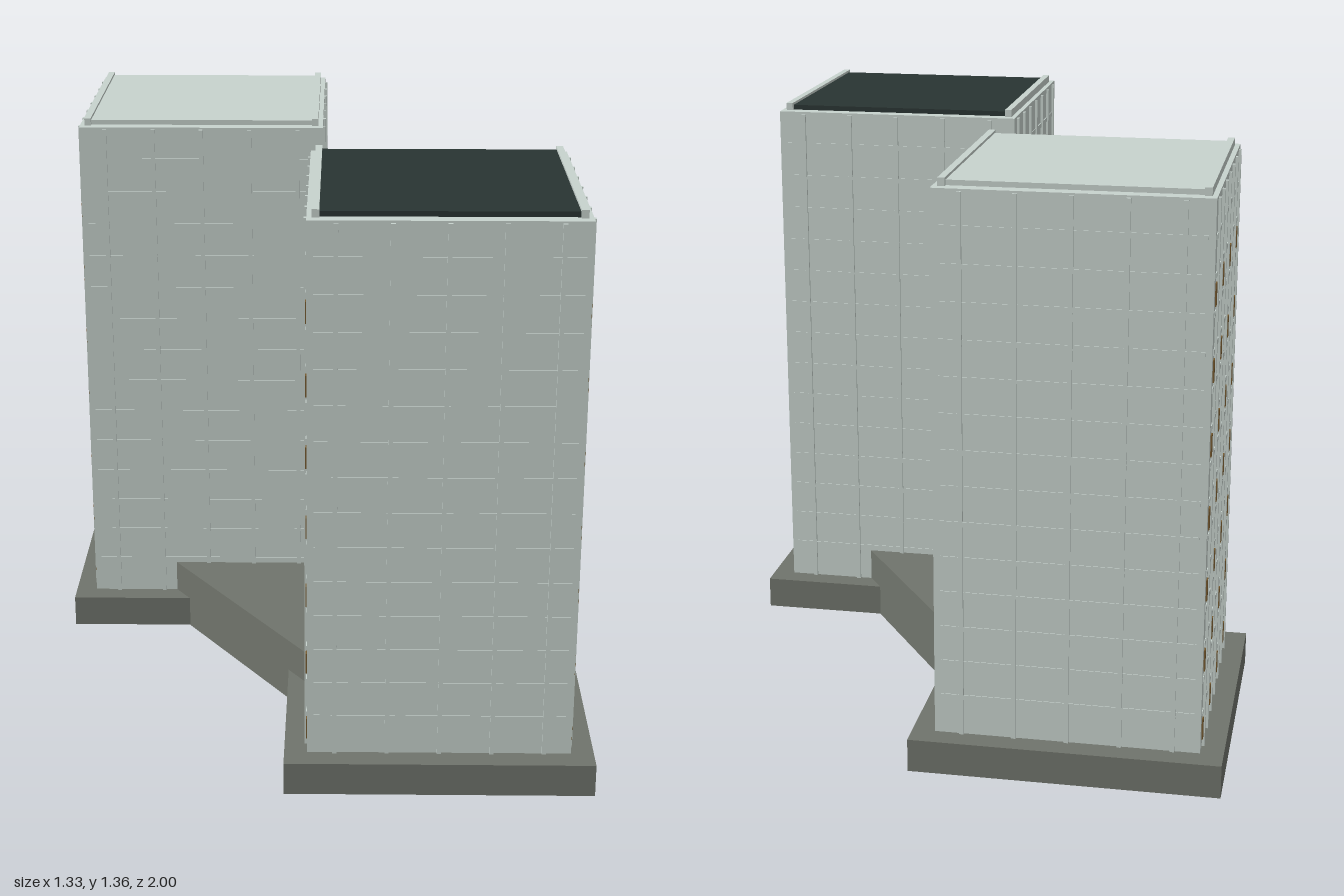
import * as THREE from 'three';

const material = (name, color) => {
  const m = new THREE.MeshStandardMaterial({ color });
  m.name = name;
  return m;
};

export function createModel() {
  const wall = material('pale concrete', 0xc8d3ce);
  const stone = material('podium stone', 0x70746c);
  const darkRoof = material('dark roof', 0x293432);
  const bronze = material('bronze window', 0x775b30);

  const W = 0.625, D = 0.605, TOP = 1.34, BASE = 0.08;
  const ANGLE = 0.672;

  // box given by centre x, bottom and top, centre z
  function box(parent, name, mat, w, d, y0, y1, x = 0, z = 0) {
    const mesh = new THREE.Mesh(new THREE.BoxGeometry(w, y1 - y0, d), mat);
    mesh.position.set(x, (y0 + y1) / 2, z);
    mesh.name = name;
    parent.add(mesh);
    return mesh;
  }

  // one facade, drawn on its local z = 0 plane facing +z
  function facade(name, width, fins, spacing, withWindows) {
    const g = new THREE.Group();
    g.name = name;
    for (let i = 0; i < fins; i++) {
      const x = (i - (fins - 1) / 2) * spacing;
      box(g, 'verticalFin', wall, 0.01, 0.01, BASE, 1.335, x, 0.001);
      if (withWindows && i % 2 === 0) {
        for (let row = 0; row < 7; row++) {
          const y = 0.128 + row * 0.167;
          box(g, 'window', bronze, 0.043, 0.006, y - 0.025, y + 0.025, x, 0);
        }
      }
    }
    for (let floor = 0; floor < 14; floor++) {
      const y = 0.17 + floor * 0.0835;
      box(g, 'floorBand', wall, width - 0.03, 0.004, y - 0.006, y + 0.006);
    }
    return g;
  }

  function tower(name, x, z, roofMat) {
    const g = new THREE.Group();
    g.name = name;
    box(g, 'podium', stone, 0.735, 0.71, 0.002, BASE);
    box(g, 'towerBody', wall, W, D, 0, TOP);
    box(g, 'roofDeck', roofMat, 0.56, 0.55, TOP, 1.352);
    for (const s of [-1, 1]) {
      box(g, 'parapet', wall, 0.58, 0.016, TOP, 1.358, 0, s * 0.283);

      const broad = facade('windowFacade', W, 7, 0.09, true);
      broad.position.z = s * D / 2;
      broad.rotation.y = s > 0 ? 0 : Math.PI;
      g.add(broad);

      const side = facade('sideFacade', D, 5, 0.12, false);
      side.position.x = s * W / 2;
      side.rotation.y = s * Math.PI / 2;
      g.add(side);
    }
    g.position.set(x, 0, z);
    g.rotation.y = ANGLE;
    return g;
  }

  const model = new THREE.Group();
  model.name = 'twinTowers';
  model.add(tower('frontTower', -0.157, 0.495, darkRoof));
  model.add(tower('backTower', 0.157, -0.495, wall));

  // low hall joining the two podiums
  const hall = box(model, 'connectingHall', stone, 0.49, 0.636, 0.001, 0.16);
  hall.rotation.y = -0.304;
  return model;
}
